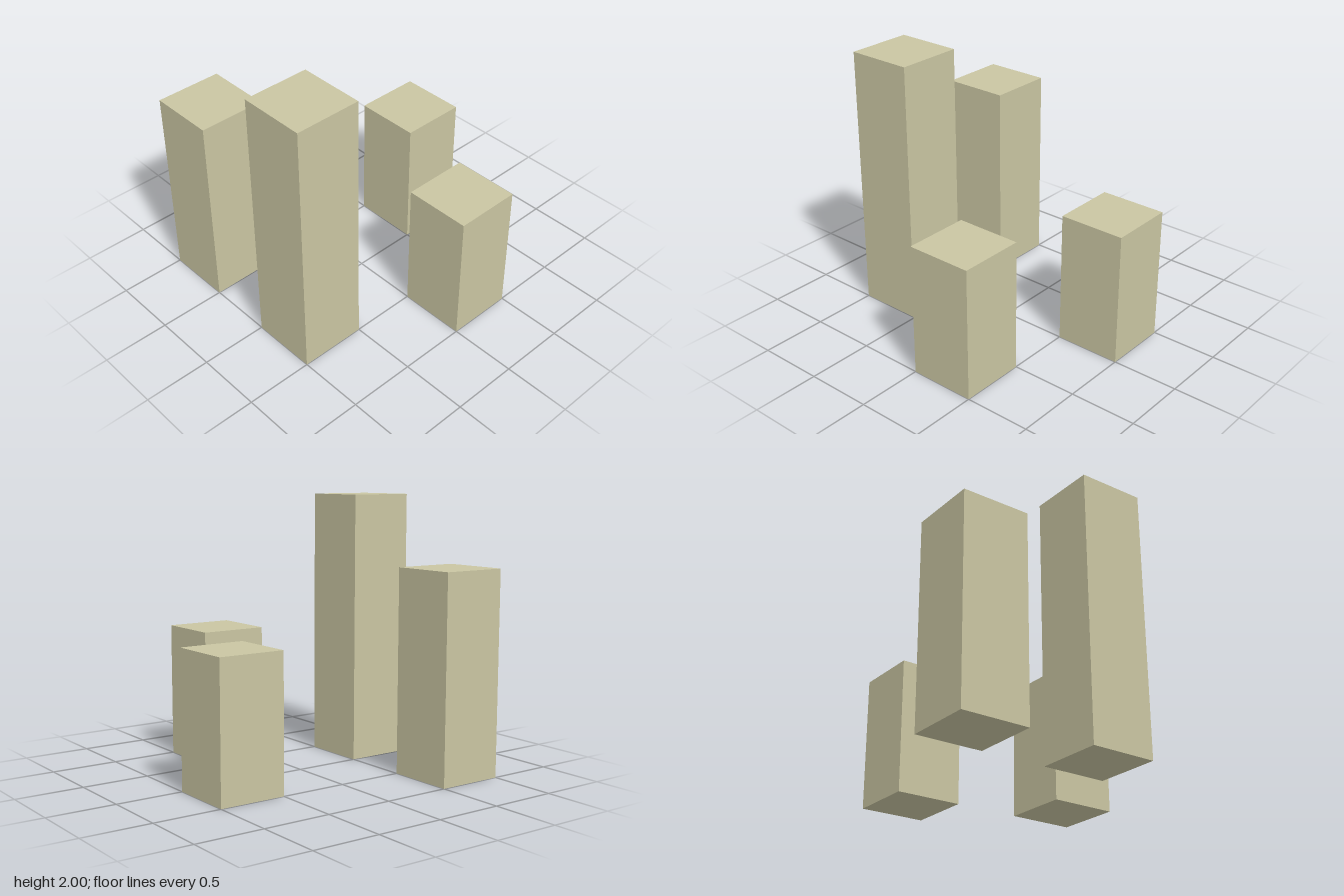
import * as THREE from 'three';

export function createModel() {
  const model = new THREE.Group();
  model.name = 'pillars';
  const sand = new THREE.MeshStandardMaterial({ color: 0xc9c5a2 });
  sand.name = 'sand';

  const width = 0.5;

  // Square pillar standing on the ground, centred on x and z
  function addPillar(name, x, z, height) {
    const pillar = new THREE.Mesh(new THREE.BoxGeometry(width, height, width), sand);
    pillar.name = name;
    pillar.position.set(x, height / 2, z);
    model.add(pillar);
  }

  addPillar('tallPillar', -0.75, 0.25, 2);
  addPillar('mediumPillar', -0.75, -0.75, 1.5);
  addPillar('frontShortPillar', 0.25, 0.75, 1);
  addPillar('sideShortPillar', 0.75, -0.25, 1);

  return model;
}
